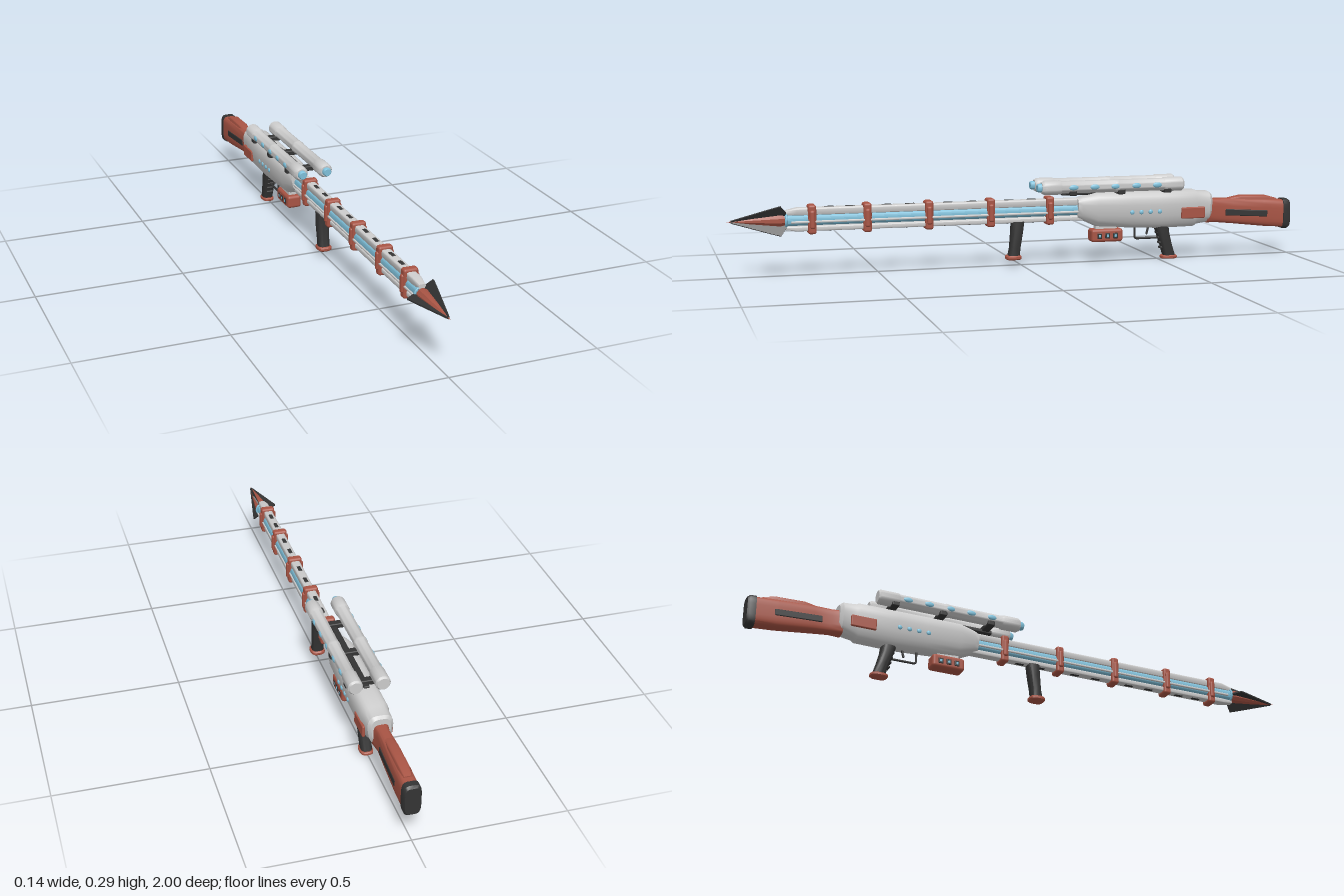
import * as THREE from 'three';
import { toCreasedNormals } from 'three/addons/utils/BufferGeometryUtils.js';
import { RoundedBoxGeometry } from 'three/addons/geometries/RoundedBoxGeometry.js';

const paint = (color) => new THREE.MeshStandardMaterial({ color });
const grey = paint(0xcccccc), red = paint(0xa85444), dark = paint(0x343434), blue = paint(0x7fc0da);

// Closed skin through stations [z, yCentre, halfWidth, halfHeight]; taper narrows the underside
function loft(stations, power = 4, taper = 0, sides = 24) {
  const pos = [], idx = [], n = stations.length;
  const bend = (c) => Math.sign(c) * Math.pow(Math.abs(c), 2 / power);
  for (const [z, y, w, h] of stations) {
    for (let j = 0; j < sides; j++) {
      const a = ((j + 0.5) / sides) * Math.PI * 2;
      const v = bend(Math.sin(a));
      pos.push(bend(Math.cos(a)) * w * (1 + taper * Math.min(v, 0)), y + v * h, z);
    }
  }
  for (let i = 0; i < n - 1; i++) {
    for (let j = 0; j < sides; j++) {
      const k = (j + 1) % sides, a = i * sides, b = a + sides;
      idx.push(a + j, a + k, b + k, a + j, b + k, b + j);
    }
  }
  const first = pos.length / 3, last = (n - 1) * sides;
  pos.push(0, stations[0][1], stations[0][0], 0, stations[n - 1][1], stations[n - 1][0]);
  for (let j = 0; j < sides; j++) {
    const k = (j + 1) % sides;
    idx.push(first, k, j, first + 1, last + j, last + k);
  }
  const g = new THREE.BufferGeometry();
  g.setAttribute('position', new THREE.Float32BufferAttribute(pos, 3));
  g.setIndex(idx);
  return toCreasedNormals(g, 0.6);
}

// Lathe along z from [radius, z] points
function turned(points, sides = 24) {
  const g = new THREE.LatheGeometry(points.map(([r, z]) => new THREE.Vector2(r, z)), sides);
  g.rotateX(Math.PI / 2);
  return toCreasedNormals(g, 0.6);
}

export function createModel() {
  const model = new THREE.Group();
  const add = (name, geo, mat, x = 0, y = 0, z = 0, parent = model) => {
    const m = new THREE.Mesh(geo, mat);
    m.name = name;
    m.position.set(x, y, z);
    parent.add(m);
    return m;
  };
  const box = (w, h, d, r = 0.004) => new RoundedBoxGeometry(w, h, d, 2, Math.min(r, w / 2.1, h / 2.1, d / 2.1));

  // Barrel: two rails around a glowing core
  add('barrelCore', turned([[0, -0.22], [0.02, -0.22], [0.02, 0.81], [0, 0.81]]), blue, 0, 0.186);
  add('topRail', loft([[-0.22, 0.214, 0.016, 0.013], [0.77, 0.214, 0.016, 0.013], [0.81, 0.21, 0.011, 0.008]], 5), grey);
  add('bottomRail', loft([[-0.22, 0.157, 0.016, 0.009], [0.77, 0.157, 0.016, 0.009], [0.81, 0.16, 0.011, 0.006]], 5), grey);
  for (const s of [-1, 1]) {
    add('sideRod', box(0.008, 0.008, 1.0, 0.003), grey, s * 0.02, 0.18, 0.29);
  }

  // Barrel clamps with slots in each bay between them
  const clamps = [-0.1, 0.11, 0.325, 0.535, 0.72];
  clamps.forEach((z, i) => {
    add('barrelClamp', box(0.05, 0.098, 0.028, 0.008), red, 0, 0.187, z);
    add('clampBand', box(0.062, 0.062, 0.018, 0.007), red, 0, 0.187, z);
    if (i === clamps.length - 1) return;
    for (const f of [0.3, 0.68]) {
      const slotZ = z + (clamps[i + 1] - z) * f;
      add('topSlot', box(0.014, 0.006, 0.034, 0.003), dark, 0, 0.2255, slotZ);
      add('bottomSlot', box(0.014, 0.006, 0.034, 0.003), dark, 0, 0.15, slotZ);
    }
  });

  // Spear head with three fins
  const head = new THREE.Group();
  head.name = 'spearHead';
  head.position.y = 0.186;
  model.add(head);
  add('spearPoint', turned([[0, 0.79], [0.016, 0.79], [0.023, 0.825], [0.012, 0.92], [0, 1.0]], 10), red, 0, 0, 0, head);
  add('muzzleRing', new THREE.TorusGeometry(0.022, 0.004, 8, 24), blue, 0, 0, 0.805, head);
  const finShape = new THREE.Shape([[0, 0.81], [0.03, 0.805], [0.057, 0.825], [0.046, 0.86], [0.004, 0.985], [0, 0.985]]
    .map(([r, z]) => new THREE.Vector2(r, z)));
  for (const angle of [Math.PI, Math.PI / 3, -Math.PI / 3]) {
    const fin = new THREE.ExtrudeGeometry(finShape, { depth: 0.005, bevelEnabled: false });
    fin.translate(0, 0, -0.0025).rotateX(Math.PI / 2).rotateZ(angle);
    add('spearFin', fin, dark, 0, 0, 0, head);
  }

  // Receiver
  add('receiver', loft([
    [-0.695, 0.182, 0.032, 0.046], [-0.685, 0.181, 0.042, 0.055], [-0.64, 0.179, 0.044, 0.06],
    [-0.63, 0.178, 0.047, 0.066], [-0.5, 0.177, 0.048, 0.067], [-0.39, 0.18, 0.048, 0.064],
    [-0.27, 0.184, 0.046, 0.06], [-0.215, 0.19, 0.034, 0.041], [-0.2, 0.19, 0.03, 0.035],
  ], 3.4, 0.35), grey);
  for (const s of [-1, 1]) {
    add('sidePanel', box(0.01, 0.04, 0.088), red, s * 0.045, 0.165, -0.617);
    for (let i = 0; i < 4; i++) {
      const light = add('sideLight', new THREE.SphereGeometry(0.008, 12, 8), blue, s * 0.046, 0.174, -0.39 - i * 0.034);
      light.scale.x = 0.5;
    }
  }

  // Shoulder stock
  add('stock', loft([
    [-0.98, 0.146, 0.027, 0.05], [-0.9, 0.152, 0.027, 0.05], [-0.78, 0.162, 0.024, 0.046],
    [-0.72, 0.165, 0.021, 0.043], [-0.68, 0.166, 0.028, 0.043],
  ], 4), red);
  add('cheekRest', loft([
    [-0.95, 0.19, 0.014, 0.012], [-0.91, 0.195, 0.018, 0.018],
    [-0.81, 0.197, 0.018, 0.019], [-0.76, 0.195, 0.014, 0.012],
  ], 4), red);
  add('buttPad', loft([
    [-1.0, 0.145, 0.025, 0.047], [-0.992, 0.145, 0.029, 0.054], [-0.972, 0.146, 0.029, 0.054],
  ], 4), dark);
  for (const s of [-1, 1]) {
    const inlay = add('stockInlay', box(0.008, 0.023, 0.16, 0.003), dark, s * 0.0235, 0.154, -0.83);
    inlay.rotation.set(-0.06, -s * 0.02, 0);
  }

  // Twin scopes on cross mounts
  for (const s of [-1, 1]) {
    const scope = new THREE.Group();
    scope.name = 'scope';
    scope.position.set(s * 0.045, 0.27, 0);
    model.add(scope);
    add('scopeTube', turned([
      [0, -0.575], [0.02, -0.575], [0.025, -0.568], [0.025, -0.505], [0.022, -0.5], [0.022, -0.34], [0.0235, -0.335],
      [0.0235, -0.325], [0.022, -0.32], [0.022, -0.13], [0.025, -0.125], [0.025, -0.07], [0.019, -0.06], [0, -0.06],
    ]), grey, 0, 0, 0, scope);
    add('scopeLens', turned([[0, -0.07], [0.015, -0.07], [0.015, -0.05], [0.012, -0.045], [0, -0.045]]), blue, 0, 0, 0, scope);
    for (let i = 0; i < 5; i++) {
      const port = add('scopeLight', new THREE.SphereGeometry(0.01, 14, 10), blue, s * 0.02, 0, -0.17 - i * 0.076);
      scope.add(port);
      port.scale.set(0.5, 0.9, 1.8);
    }
  }
  for (const z of [-0.17, -0.345, -0.515]) {
    add('scopeMount', box(0.13, 0.018, 0.026), dark, 0, 0.25, z);
  }
  add('mountRail', box(0.02, 0.014, 0.4), dark, 0, 0.243, -0.345);

  // Power cell below the receiver
  add('powerCell', box(0.052, 0.046, 0.115, 0.01), red, 0, 0.093, -0.307);
  add('cellMount', box(0.03, 0.03, 0.08), grey, 0, 0.122, -0.307);
  for (const s of [-1, 1]) {
    for (let i = 0; i < 3; i++) {
      add('cellSocket', box(0.005, 0.02, 0.018), dark, s * 0.0255, 0.092, -0.278 - i * 0.029);
      add('cellLight', box(0.004, 0.01, 0.008, 0.002), blue, s * 0.0275, 0.092, -0.278 - i * 0.029);
    }
  }

  // Grips: stations run upward, the second value leans them back
  const grip = (name, stations, mat) => add(name, loft(stations, 3).rotateX(-Math.PI / 2), mat);
  grip('frontGrip', [[0.025, -0.027, 0.02, 0.021], [0.06, -0.022, 0.02, 0.019],
    [0.11, -0.016, 0.022, 0.021], [0.152, -0.012, 0.021, 0.023]], dark);
  grip('frontGripCap', [[0.02, -0.027, 0.021, 0.024], [0.024, -0.027, 0.025, 0.028],
    [0.031, -0.027, 0.025, 0.028], [0.035, -0.027, 0.021, 0.024]], red);
  grip('rearGrip', [[0.008, 0.545, 0.018, 0.022], [0.05, 0.532, 0.02, 0.021],
    [0.09, 0.52, 0.022, 0.023], [0.13, 0.511, 0.022, 0.027]], dark);
  grip('rearGripCap', [[0, 0.543, 0.019, 0.026], [0.003, 0.543, 0.022, 0.03],
    [0.009, 0.543, 0.022, 0.03], [0.012, 0.543, 0.019, 0.026]], red);
  for (let i = 0; i < 4; i++) {
    add('fingerRidge', box(0.026, 0.009, 0.01), dark, 0, 0.04 + i * 0.018, -0.513 + i * 0.0045);
  }

  // Trigger and guard
  const guard = new THREE.CurvePath();
  const path = [[0.12, -0.415], [0.08, -0.415], [0.075, -0.42], [0.075, -0.505]].map(([y, z]) => new THREE.Vector3(0, y, z));
  for (let i = 0; i < path.length - 1; i++) guard.add(new THREE.LineCurve3(path[i], path[i + 1]));
  add('triggerGuard', new THREE.TubeGeometry(guard, 24, 0.004, 8), dark);
  const trigger = add('trigger', box(0.008, 0.032, 0.007, 0.003), dark, 0, 0.103, -0.463);
  trigger.rotation.x = -0.25;

  return model;
}
